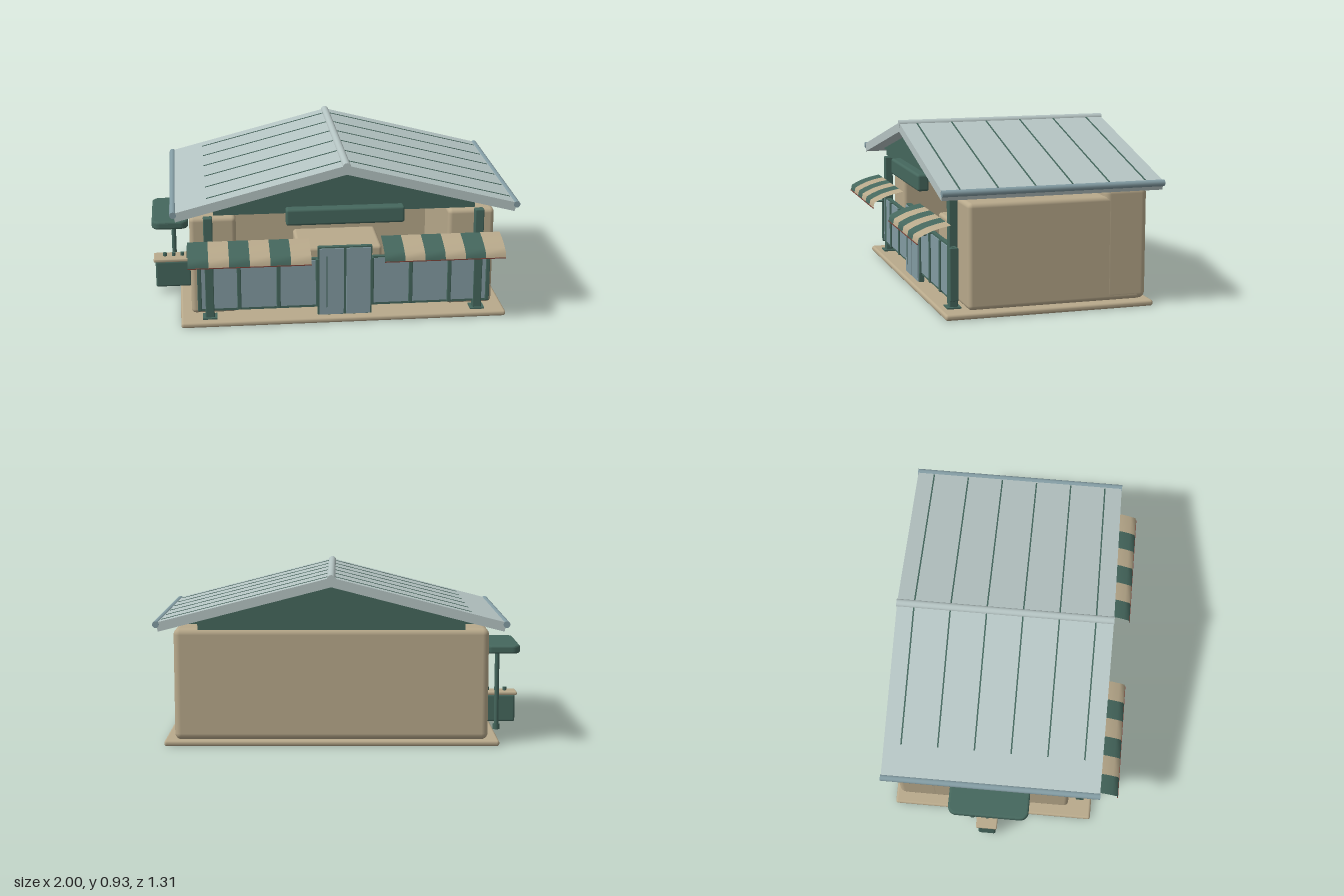
import * as THREE from 'three';
import { RoundedBoxGeometry } from 'three/addons/geometries/RoundedBoxGeometry.js';

const mat = (name, color, side = THREE.FrontSide) => {
  const m = new THREE.MeshStandardMaterial({ color, side });
  m.name = name;
  return m;
};

export function createModel() {
  const group = new THREE.Group();
  const tan = mat('sandPlaster', 0xb8a98b);
  const green = mat('darkGreen', 0x45675d);
  const blue = mat('blueGreyPanel', 0x839ca3);
  const roofMat = mat('paleRoof', 0xb5c4c3);
  const red = mat('rustTrim', 0x7a4238);
  const awningTan = mat('awningSand', 0xb8a98b, THREE.DoubleSide);
  const awningGreen = mat('awningGreen', 0x45675d, THREE.DoubleSide);

  const add = (name, geo, m, x = 0, y = 0, z = 0) => {
    const mesh = new THREE.Mesh(geo, m);
    mesh.name = name;
    mesh.position.set(x, y, z);
    group.add(mesh);
    return mesh;
  };
  // box given by its limits, with optional rounded edges
  const box = (name, m, x0, x1, y0, y1, z0, z1, r = 0) => {
    const s = [x1 - x0, y1 - y0, z1 - z0];
    const geo = r ? new RoundedBoxGeometry(...s, 3, r) : new THREE.BoxGeometry(...s);
    return add(name, geo, m, (x0 + x1) / 2, (y0 + y1) / 2, (z0 + z1) / 2);
  };
  // profile in x and y, extruded from z0 to z1
  const extrude = (name, m, pts, z0, z1) => {
    const shape = new THREE.Shape(pts.map(p => new THREE.Vector2(...p)));
    return add(name, new THREE.ExtrudeGeometry(shape, { depth: z1 - z0, bevelEnabled: false }), m, 0, 0, z0);
  };
  const C = 0.055; // middle line of the building

  // base and walls, open at the front
  box('baseSlab', tan, -0.85, 0.955, 0, 0.032, -0.62, 0.52, 0.014);
  box('backWall', tan, -0.79, 0.9, 0.03, 0.637, -0.6, -0.36, 0.035);
  box('leftWall', tan, 0.64, 0.899, 0.03, 0.592, -0.57, 0.385, 0.025);
  box('rightWall', tan, -0.789, -0.535, 0.03, 0.592, -0.57, 0.385, 0.025);
  box('innerCounter', tan, -0.19, 0.29, 0.03, 0.35, -0.08, 0.26, 0.02);

  // gable block under the roof
  extrude('gable', green, [[C - 0.715, 0.63], [C + 0.715, 0.63], [C + 0.715, 0.662],
    [C + 0.81, 0.662], [C, 0.868], [C - 0.81, 0.662], [C - 0.715, 0.662]], -0.59, 0.46);
  box('signBoard', green, -0.27, 0.375, 0.575, 0.668, 0.455, 0.52, 0.014);

  // roof slab, ridge, eave tubes and seams
  extrude('roof', roofMat, [[C, 0.915], [C - 0.93, 0.676], [C - 0.918, 0.628], [C, 0.864],
    [C + 0.918, 0.628], [C + 0.93, 0.676]], -0.65, 0.545);
  const tube = (name, m, r, x, y) => {
    add(name, new THREE.CylinderGeometry(r, r, 1.2, 16), m, x, y, -0.053).rotation.x = Math.PI / 2;
  };
  tube('ridgeCap', roofMat, 0.022, C, 0.907);
  const slope = Math.atan2(0.239, 0.93);
  for (const s of [-1, 1]) {
    tube('eaveTube', blue, 0.018, C + s * 0.93, 0.666);
    const d0 = 0.02, d1 = s > 0 ? 0.91 : 0.75, mid = (d0 + d1) / 2;
    for (let i = 0; i < 6; i++) {
      const seam = add('roofSeam', new THREE.BoxGeometry((d1 - d0) / Math.cos(slope), 0.006, 0.008), green,
        C + s * mid, 0.9145 - mid * Math.tan(slope), 0.447 - i * 0.2005);
      seam.rotation.z = -s * slope;
    }
  }

  // front posts with foot plates
  for (const s of [-1, 1]) {
    const x = C + s * 0.745;
    box('frontPost', green, x - 0.025, x + 0.025, 0.03, 0.615, 0.42, 0.466, 0.006);
    box('postFoot', green, x - 0.04, x + 0.04, 0.03, 0.04, 0.405, 0.48);
  }

  // panelled front fence, three panels on each side of the doors
  for (const s of [-1, 1]) {
    const xa = C + s * 0.15, xb = C + s * 0.8;
    const lo = Math.min(xa, xb), w = 0.65 / 3;
    box('fenceFrame', green, lo, lo + 0.65, 0.075, 0.362, 0.435, 0.458);
    for (let i = 0; i < 3; i++) {
      box('fencePanel', blue, lo + i * w + 0.01, lo + (i + 1) * w - 0.01, 0.09, 0.352, 0.43, 0.464);
    }
    for (let i = 0; i < 4; i++) {
      const x = lo + i * w;
      box('fenceStile', green, x - 0.011, x + 0.011, 0.08, 0.36, 0.428, 0.473, 0.004);
    }
  }

  // double door
  box('doorFrame', green, C - 0.15, C + 0.15, 0.032, 0.43, 0.445, 0.472);
  for (const s of [-1, 1]) {
    const x = C + s * 0.074;
    box('doorLeaf', blue, x - 0.067, x + 0.067, 0.036, 0.422, 0.44, 0.48);
  }
  box('doorPull', green, -0.049, -0.043, 0.08, 0.38, 0.478, 0.484);

  // curved striped awnings with a rust hem, and a small lamp below each
  const curve = [[0.478, 0.488], [0.53, 0.478], [0.58, 0.464], [0.62, 0.447], [0.648, 0.432], [0.655, 0.402]];
  for (const x0 of [-0.805, 0.25]) {
    const w = 0.11;
    for (let i = 0; i < 6; i++) {
      const geo = new THREE.PlaneGeometry(w, 1, 1, curve.length - 1);
      const p = geo.attributes.position;
      for (let k = 0; k < p.count; k++) {
        const [z, y] = curve[Math.floor(k / 2)];
        p.setXYZ(k, p.getX(k), y, z);
      }
      geo.computeVertexNormals();
      add('awningStripe', geo, i % 2 ? awningTan : awningGreen, x0 + (i + 0.5) * w);
    }
    box('awningHem', red, x0, x0 + 6 * w, 0.398, 0.403, 0.652, 0.657);
    add('lamp', new THREE.CylinderGeometry(0.022, 0.022, 0.007, 16), green, x0 + 0.33, 0.381, 0.546);
  }

  // side stand: canopy, pole and small counter
  const canopy = new THREE.Shape();
  const hx = 0.09, hz = 0.212, r = 0.035;
  for (const [i, [sx, sy]] of [[1, 1], [-1, 1], [-1, -1], [1, -1]].entries()) {
    canopy.absarc(sx * (hx - r), sy * (hz - r), r, i * Math.PI / 2, (i + 1) * Math.PI / 2, false);
  }
  const top = add('standCanopy', new THREE.ExtrudeGeometry(canopy, { depth: 0.022, bevelSize: 0.012,
    bevelThickness: 0.012, bevelSegments: 3, curveSegments: 6 }), green, -0.897, 0.464, -0.058);
  top.rotation.x = -Math.PI / 2;
  add('standPole', new THREE.CylinderGeometry(0.013, 0.013, 0.45, 12), green, -0.88, 0.235, -0.165);
  add('poleFoot', new THREE.CylinderGeometry(0.019, 0.019, 0.03, 12), green, -0.88, 0.018, -0.165);
  box('standCabinet', green, -0.99, -0.785, 0.035, 0.192, -0.12, -0.02, 0.012);
  box('standCounter', tan, -1, -0.785, 0.19, 0.21, -0.13, -0.01, 0.007);
  box('standBack', green, -0.81, -0.785, 0.2, 0.25, -0.12, -0.02);
  for (let i = 0; i < 3; i++) {
    add('counterJar', new THREE.CylinderGeometry(0.011, 0.011, 0.02, 10), green, -0.935 + i * 0.05, 0.219, -0.07);
  }
  return group;
}
